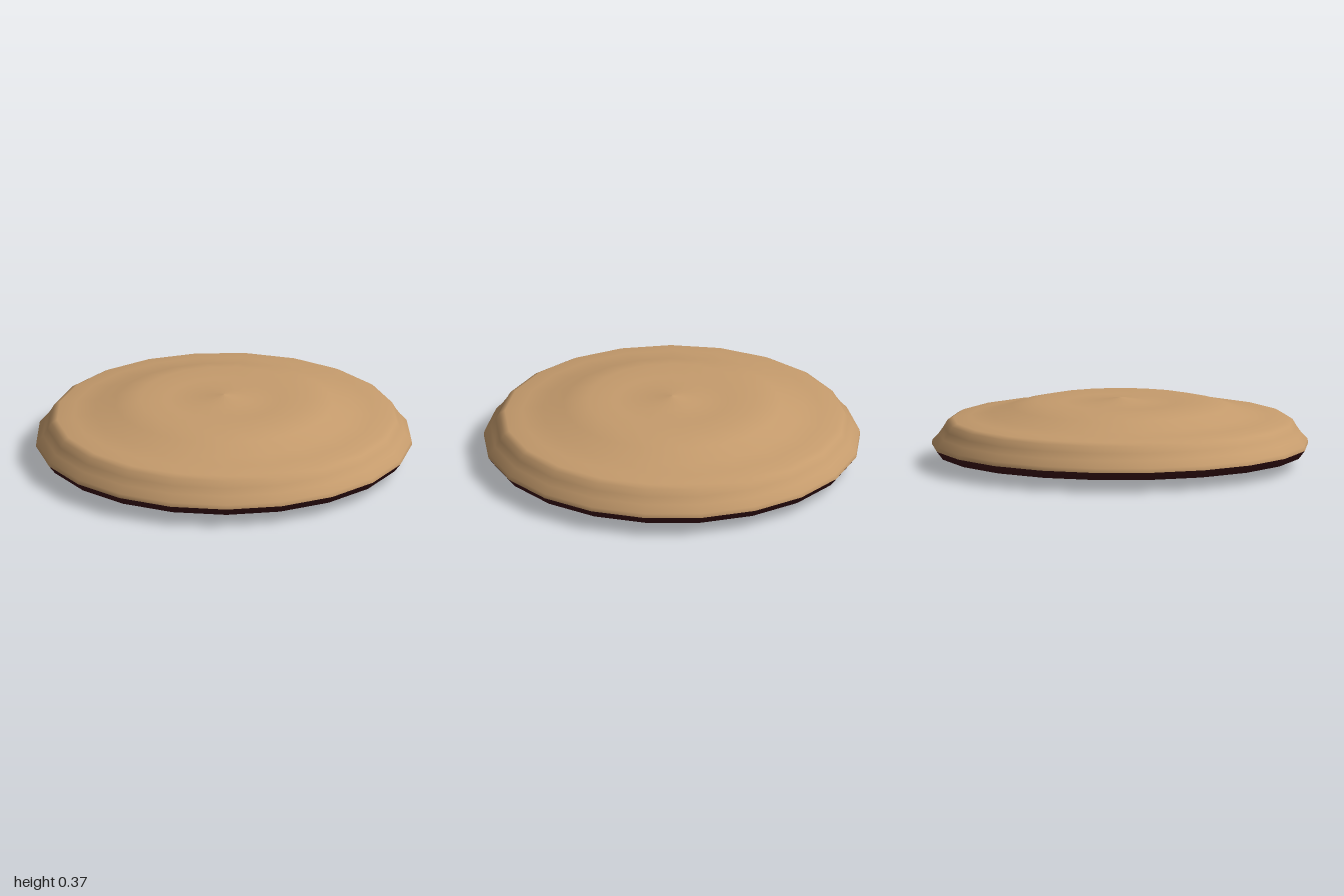
import * as THREE from 'three';

const SIDES = 21;

// Smooth lathe with one corner pointing to the back; points run from bottom to top
function turned(name, points, material) {
  const profile = points.map(([r, y]) => new THREE.Vector2(r, y));
  const geometry = new THREE.LatheGeometry(profile, SIDES, Math.PI, Math.PI * 2);
  const mesh = new THREE.Mesh(geometry, material);
  mesh.name = name;
  mesh.position.z = 0.005;
  return mesh;
}

export function createModel() {
  const tan = new THREE.MeshStandardMaterial({ color: 0xc69c6d });
  tan.name = 'tan';
  const maroon = new THREE.MeshStandardMaterial({ color: 0x42151a });
  maroon.name = 'dark maroon';

  const model = new THREE.Group();
  model.name = 'roundDisc';

  // Shallow bowl-shaped underside with a short rim
  model.add(turned('underside', [
    [0, 0], [0.3, 0.004], [0.55, 0.018], [0.8, 0.04], [0.97, 0.062], [1.003, 0.105],
  ], maroon));

  // Rounded shoulder, flat ledge, raised dome and small central peak
  model.add(turned('top', [
    [1.003, 0.105], [1.0, 0.128], [0.965, 0.165], [0.94, 0.2], [0.92, 0.235], [0.89, 0.252],
    [0.8, 0.262], [0.69, 0.279], [0.58, 0.317], [0.45, 0.346], [0.3, 0.338], [0.14, 0.343],
    [0, 0.366],
  ], tan));

  return model;
}
